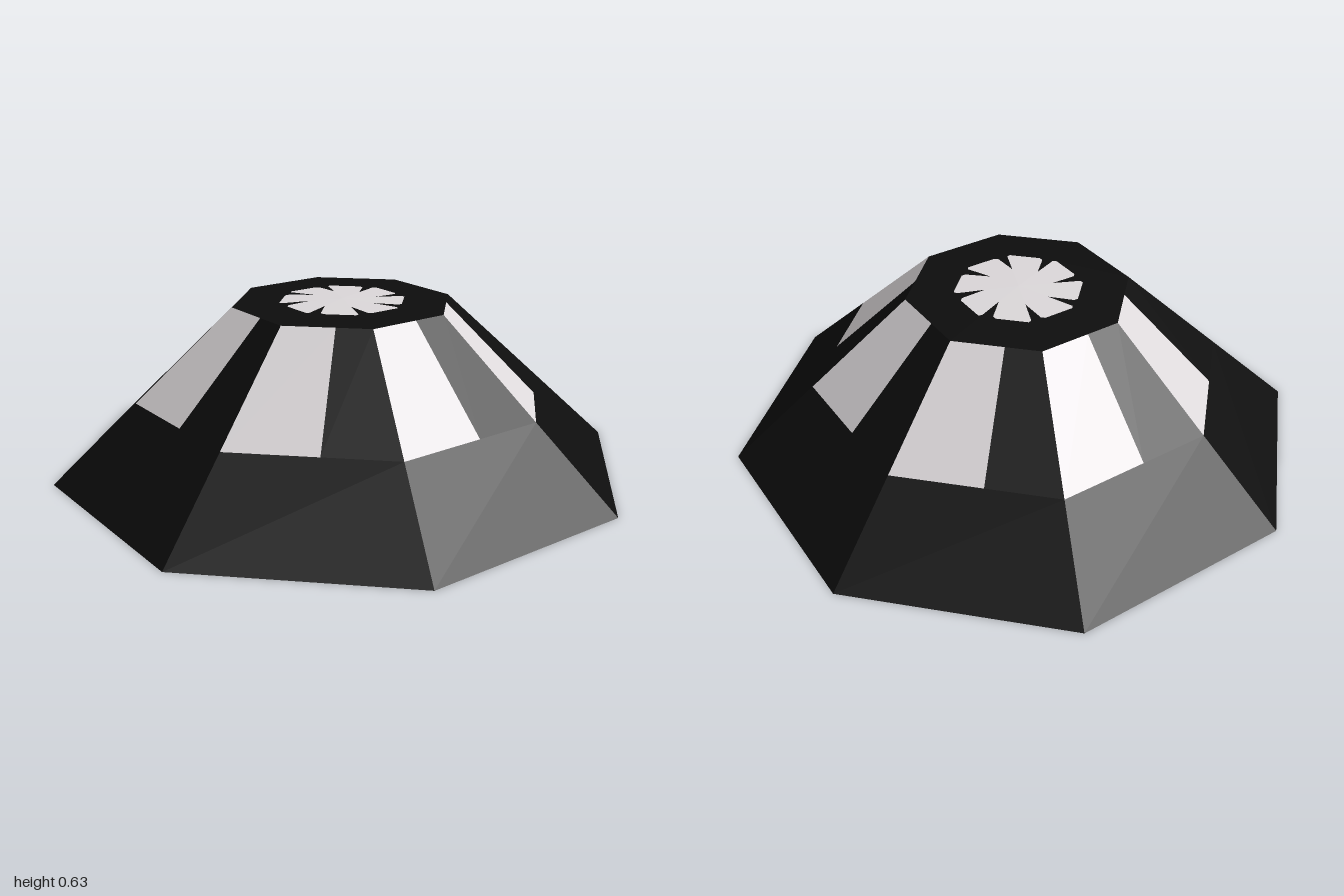
import * as THREE from 'three';

const SLOPE = Math.tan(Math.PI / 8); // half facet width per unit of apothem
const RIM = 0.38, CENTRE_Y = 0.63;

// Height of the shell at a distance r from the axis, measured along a facet's middle
const heightAt = (r) => (r >= RIM ? 1 - r : CENTRE_Y - (CENTRE_Y - (1 - RIM)) * (r / RIM));

// Flat piece of one facet, outlined by [across, distance] points
function facetPiece(points) {
  const shape = new THREE.Shape(points.map(([x, r]) => new THREE.Vector2(r, x)));
  const geo = new THREE.ShapeGeometry(shape);
  const p = geo.attributes.position;
  for (let i = 0; i < p.count; i++) {
    const r = p.getX(i), x = p.getY(i);
    p.setXYZ(i, x, heightAt(r), r);
  }
  geo.computeVertexNormals();
  return geo;
}

export function createModel() {
  const black = new THREE.MeshStandardMaterial({ color: 0x0d0d0d, side: THREE.DoubleSide });
  black.name = 'black';
  const light = new THREE.MeshStandardMaterial({ color: 0xdcd8da, side: THREE.DoubleSide });
  light.name = 'paleGrey';

  const c = (r) => r * SLOPE; // facet corner at distance r
  const low = 0.714, edge = 0.03; // window bottom and straight side
  const pr = 0.222, pe = -0.048, b = 0.012; // petal radius, straight side and corner cut
  const tip = -pe / SLOPE; // inner end of the notch

  const petalEdge = [
    [c(pr - b), pr - b], [c(pr) - b, pr], [pe + b, pr], [pe, pr - b], [pe, tip],
  ];
  const pieces = [
    ['skirt', black, [[-c(1), 1], [c(1), 1], [c(low), low], [-c(low), low]]],
    ['panelGap', black, [[edge, low], [c(low), low], [c(RIM), RIM], [edge, RIM]]],
    ['window', light, [[-c(low), low], [edge, low], [edge, RIM], [-c(RIM), RIM]]],
    ['roof', black, [[-c(RIM), RIM], [c(RIM), RIM], ...petalEdge]],
    ['roofPetal', light, [[0, 0], ...petalEdge]],
  ].map(([name, material, points]) => ({ name, material, geo: facetPiece(points) }));

  // Eight equal facets around the axis, open underneath
  const model = new THREE.Group();
  model.name = 'octagonalShade';
  for (let i = 0; i < 8; i++) {
    const facet = new THREE.Group();
    facet.name = 'facet' + (i + 1);
    for (const { name, material, geo } of pieces) {
      const mesh = new THREE.Mesh(geo, material);
      mesh.name = name;
      facet.add(mesh);
    }
    facet.rotation.y = (i * Math.PI) / 4;
    model.add(facet);
  }
  return model;
}
